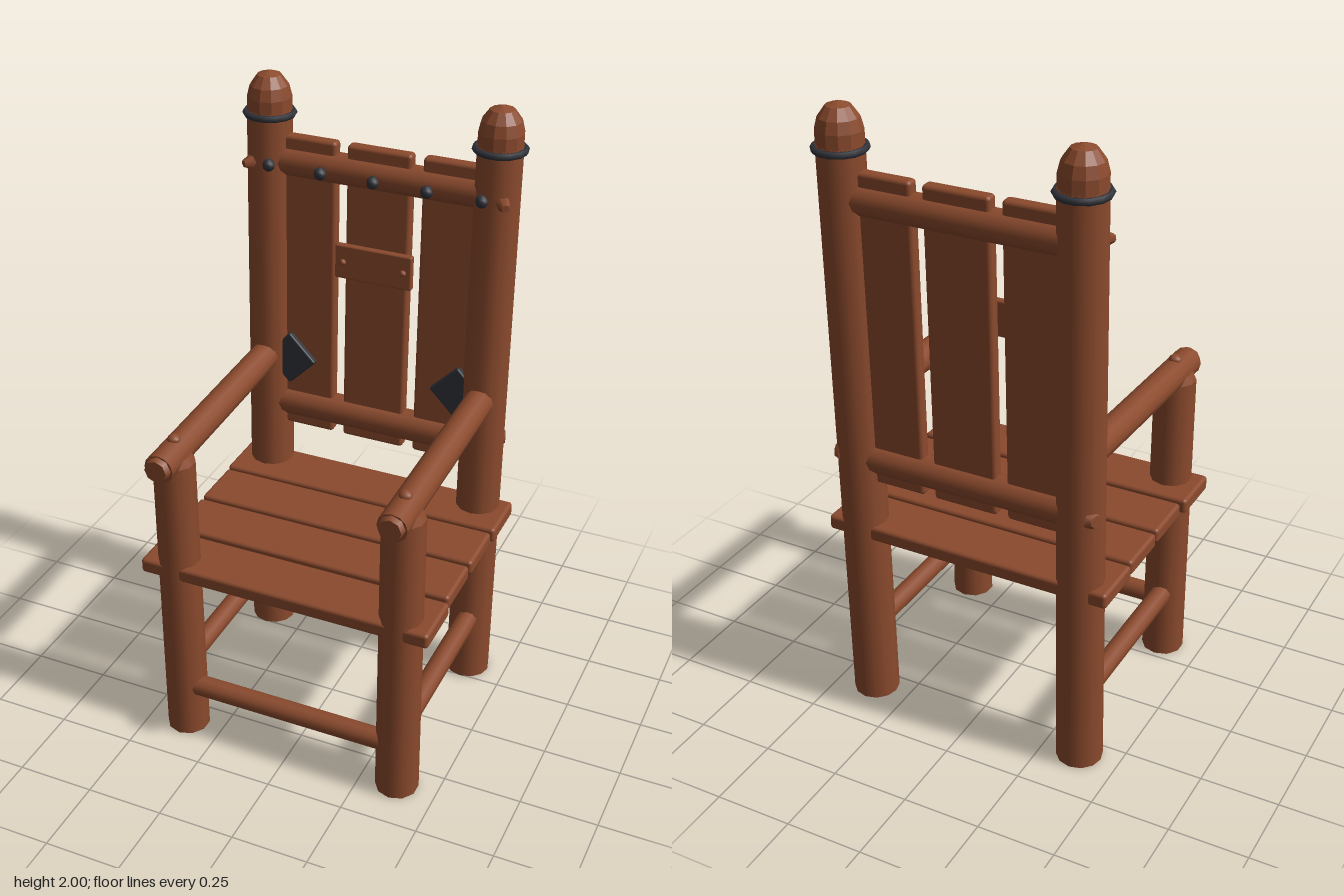
import * as THREE from 'three';
import { RoundedBoxGeometry } from 'three/addons/geometries/RoundedBoxGeometry.js';

const wood = new THREE.MeshStandardMaterial({ color: 0x8b4a2d });
wood.name = 'reddish wood';
const iron = new THREE.MeshStandardMaterial({ color: 0x30333a });
iron.name = 'dark iron';

const UP = new THREE.Vector3(0, 1, 0);
const LEAN = -0.0255; // backward tilt of the back rest
const backZ = (y) => -0.315 + Math.tan(LEAN) * y; // centre plane of the back

function add(parent, name, geometry, material, x = 0, y = 0, z = 0) {
  const mesh = new THREE.Mesh(geometry, material);
  mesh.name = name;
  mesh.position.set(x, y, z);
  parent.add(mesh);
  return mesh;
}

// Round log running from point a to point b
function log(parent, name, a, b, ra, rb = ra, sides = 12, material = wood) {
  const from = new THREE.Vector3(...a), to = new THREE.Vector3(...b);
  const dir = to.clone().sub(from);
  const geometry = new THREE.CylinderGeometry(rb, ra, dir.length(), sides);
  const mesh = add(parent, name, geometry, material);
  mesh.position.copy(from).add(to).multiplyScalar(0.5);
  mesh.quaternion.setFromUnitVectors(UP, dir.normalize());
  return mesh;
}

// Board with softened edges
function board(parent, name, w, h, d, x, y, z, radius = 0.01, material = wood) {
  return add(parent, name, new RoundedBoxGeometry(w, h, d, 2, radius), material, x, y, z);
}

// Faceted solid of revolution
function faceted(points, sides) {
  const lathe = new THREE.LatheGeometry(points.map((p) => new THREE.Vector2(...p)), sides);
  const flat = lathe.toNonIndexed();
  flat.computeVertexNormals();
  return flat;
}

export function createModel() {
  const chair = new THREE.Group();
  chair.name = 'logArmchair';

  for (const s of [-1, 1]) {
    const x = 0.37 * s;

    // Tall back post with faceted cap and iron ring
    log(chair, 'backPost', [x, 0, backZ(0)], [x, 1.88, backZ(1.88)], 0.073, 0.07);
    const cap = [[0.069, 0], [0.069, 0.05], [0.06, 0.085], [0.037, 0.117], [0, 0.13]];
    add(chair, 'postCap', faceted(cap, 12), wood, x, 1.87, backZ(1.87));
    const ring = add(chair, 'postRing', new THREE.TorusGeometry(0.074, 0.0105, 6, 14), iron, x, 1.868, backZ(1.868));
    ring.rotation.x = Math.PI / 2 + LEAN;

    // Front post with chamfered top
    log(chair, 'frontPost', [x, 0, 0.333], [x, 1.015, 0.333], 0.069, 0.066, 10);
    log(chair, 'frontPostTop', [x, 1.015, 0.333], [x, 1.04, 0.333], 0.066, 0.055, 10);

    // Arm rest, its end plug and its peg
    log(chair, 'armRest', [x, 1.062, -0.3], [x, 1.035, 0.425], 0.046, 0.047);
    log(chair, 'armEndPlug', [x, 1.037, 0.424], [x, 1.037, 0.445], 0.042, 0.036, 8);
    const peg = add(chair, 'armPeg', new THREE.SphereGeometry(0.021, 10, 6), wood, x, 1.085, 0.325);
    peg.scale.y = 0.75;

    // Side stretcher between front and back legs
    log(chair, 'sideStretcher', [0.378 * s, 0.235, 0.285], [0.378 * s, 0.235, -0.27], 0.034, 0.034, 10);

    // Branch stubs on the back post
    log(chair, 'branchStub', [x + 0.025 * s, 1.725, -0.32], [x + 0.052 * s, 1.72, -0.28], 0.03, 0.012, 6);
    log(chair, 'branchStub', [x + 0.05 * s, 0.9, backZ(0.9) - 0.035], [x + 0.065 * s, 0.9, backZ(0.9) - 0.04], 0.032, 0.02, 6);
  }

  log(chair, 'frontStretcher', [-0.325, 0.178, 0.347], [0.325, 0.178, 0.347], 0.034, 0.034, 10);

  // Seat slats: centre z, half width along x
  [[0.3, 0.476], [0.101, 0.466], [-0.095, 0.468], [-0.29, 0.474]].forEach(([z, half]) => {
    board(chair, 'seatSlat', half * 2, 0.05, 0.182, 0, 0.635, z, 0.012);
  });

  // Back rest rails
  for (const [y, r] of [[1.725, 0.048], [0.89, 0.05]]) {
    log(chair, 'backRail', [-0.34, y, backZ(y)], [0.34, y, backZ(y)], r);
  }

  // Leaning panel: local origin at the middle of the planks
  const panel = new THREE.Group();
  panel.name = 'backPanel';
  panel.position.set(0, 1.31, backZ(1.31));
  panel.rotation.x = LEAN;
  chair.add(panel);
  for (const x of [-0.24, 0, 0.24]) {
    board(panel, 'backPlank', x ? 0.2 : 0.21, 1.0, 0.042, x, 0, 0, 0.012);
  }

  // Repair patch with two nails
  board(panel, 'patchBoard', 0.255, 0.112, 0.024, -0.003, 0.127, 0.03, 0.006);
  for (const x of [-0.103, 0.097]) {
    add(panel, 'patchNail', new THREE.SphereGeometry(0.011, 8, 6), wood, x, 0.127, 0.042);
  }

  // Iron diamonds beside the posts
  for (const s of [-1, 1]) {
    const diamond = board(panel, 'ironDiamond', 0.128, 0.128, 0.024, 0.288 * s, -0.25, 0.028, 0.006, iron);
    diamond.rotation.z = Math.PI / 4;
  }

  // Iron studs along the top rail
  for (let i = -2; i <= 2; i++) {
    add(chair, 'ironStud', new THREE.SphereGeometry(0.02, 8, 6), iron, 0.172 * i, 1.725, -0.293);
  }

  return chair;
}
